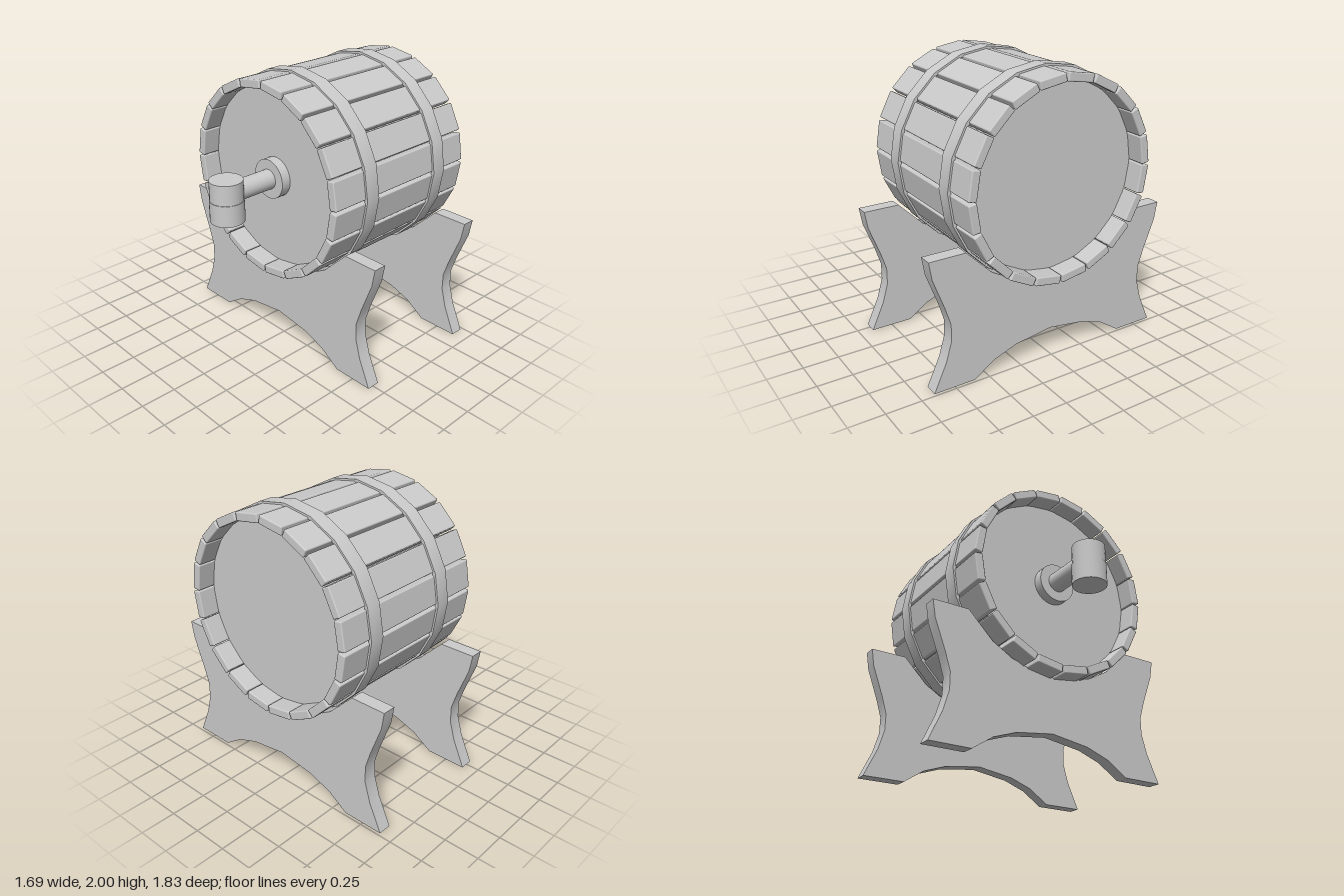
import * as THREE from 'three';
import { toCreasedNormals } from 'three/addons/utils/BufferGeometryUtils.js';
import { RoundedBoxGeometry } from 'three/addons/geometries/RoundedBoxGeometry.js';

const AXIS_Y = 1.285; // height of the barrel's axis
const STAVES = 20;

export function createModel() {
  const model = new THREE.Group();
  const material = new THREE.MeshStandardMaterial({ color: 0xcccccc });

  const add = (name, geometry, parent = model) => {
    const mesh = new THREE.Mesh(geometry, material);
    mesh.name = name;
    parent.add(mesh);
    return mesh;
  };

  // Cylinder lying along x between x0 and x1
  const rod = (name, radius, x0, x1, sides, parent) => {
    const geometry = new THREE.CylinderGeometry(radius, radius, x1 - x0, sides).rotateZ(Math.PI / 2);
    add(name, geometry, parent).position.set((x0 + x1) / 2, AXIS_Y, 0);
  };

  // Staves: straight planks around the axis, with gaps opening outwards
  const staves = new THREE.Group();
  staves.name = 'staves';
  staves.position.set(0.205, AXIS_Y, 0);
  model.add(staves);
  const plank = new RoundedBoxGeometry(1.27, 0.06, 0.197, 2, 0.009);
  for (let i = 0; i < STAVES; i++) {
    const angle = ((i + 0.5) / STAVES) * Math.PI * 2;
    const stave = add('stave', plank, staves);
    stave.position.set(0, Math.cos(angle) * 0.663, Math.sin(angle) * 0.663);
    stave.rotation.x = angle;
  }

  // Recessed barrel heads, joined as one solid core
  rod('barrelHeads', 0.638, -0.3, 0.71, 40, model);

  // Hoops: faceted bands that follow the staves
  const band = [[0.69, -0.055], [0.715, -0.055], [0.715, 0.055], [0.69, 0.055], [0.69, -0.055]]
    .map(([r, h]) => new THREE.Vector2(r, h));
  const hoopGeometry = toCreasedNormals(new THREE.LatheGeometry(band, STAVES), 0.6).rotateZ(Math.PI / 2);
  for (const x of [-0.107, 0.563]) add('hoop', hoopGeometry).position.set(x, AXIS_Y, 0);

  // Tap: flange on the head, pipe and upright valve body in two sections
  const tap = new THREE.Group();
  tap.name = 'tap';
  model.add(tap);
  rod('tapFlange', 0.14, -0.37, -0.29, 32, tap);
  rod('tapPipe', 0.07, -0.7, -0.3, 32, tap);
  add('tapSpout', new THREE.CylinderGeometry(0.117, 0.117, 0.15, 32), tap).position.set(-0.73, 1.175, 0);
  add('tapHandle', new THREE.CylinderGeometry(0.113, 0.113, 0.14, 32), tap).position.set(-0.73, 1.32, 0);

  // Stands: half outline from the arch, round the foot and up to the cradle
  const half = [
    [0, 0.2], [0.28, 0.16], [0.45, 0.1], [0.6, 0], [0.9, 0], [0.81, 0.2], [0.77, 0.34], [0.77, 0.46],
    [0.81, 0.585], [0.893, 0.8], [0.915, 0.925], [0.655, 0.925], [0.47, 0.745], [0.32, 0.66], [0.16, 0.61],
  ];
  const mirrored = half.slice(1).reverse().map(([z, y]) => [-z, y]);
  const outline = new THREE.Shape([...half, [0, 0.595], ...mirrored].map(([z, y]) => new THREE.Vector2(z, y)));
  const standGeometry = toCreasedNormals(
    new THREE.ExtrudeGeometry(outline, { depth: 0.095, bevelEnabled: false }), 0.5
  ).rotateY(Math.PI / 2);
  for (const x of [-0.295, 0.635]) add('stand', standGeometry).position.x = x;

  return model;
}
